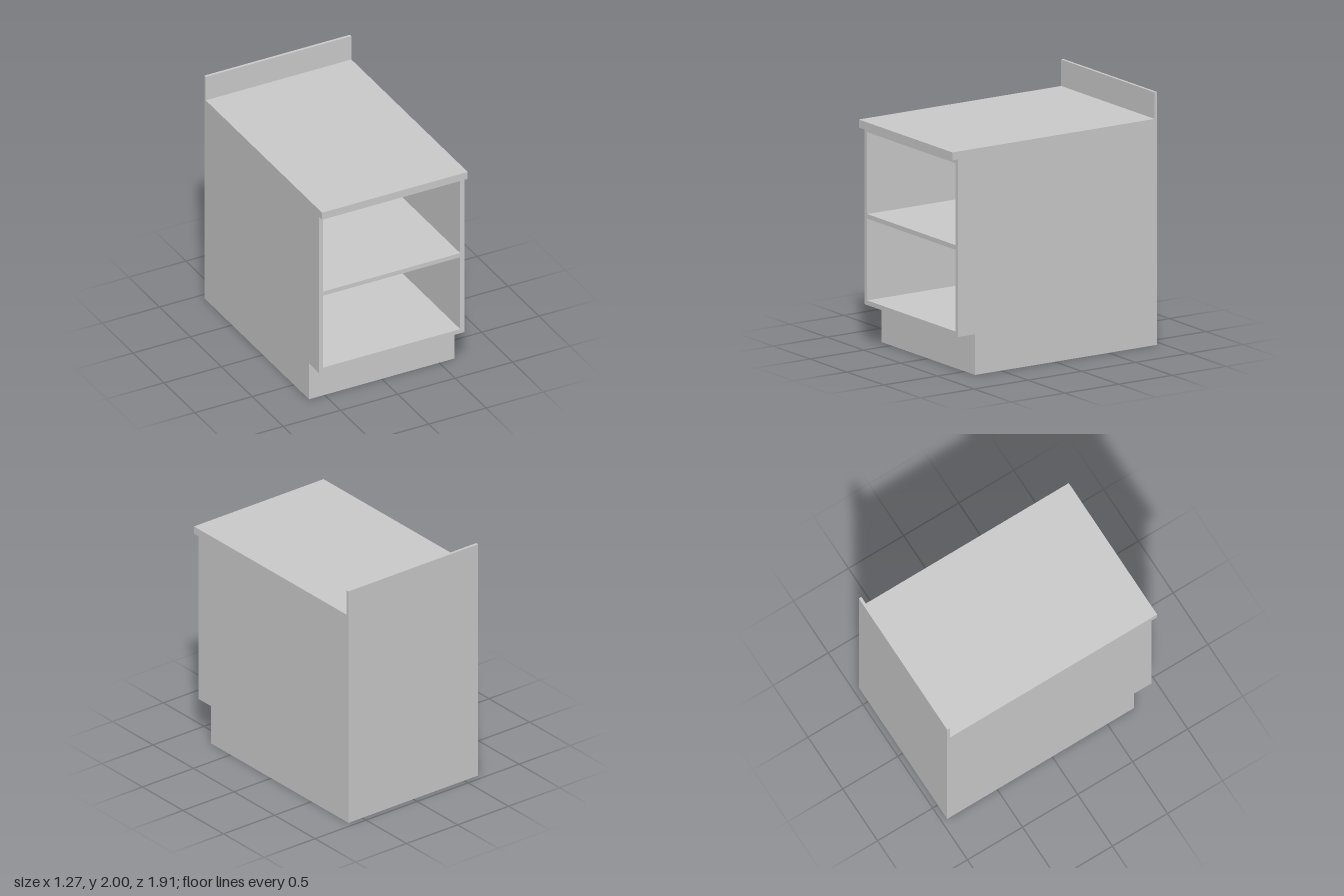
import * as THREE from 'three';

export function createModel() {
  const model = new THREE.Group();
  model.name = 'baseCabinet';
  const material = new THREE.MeshStandardMaterial({ color: 0xcccccc });

  // Box given by its limits on each axis
  function panel(name, [x0, x1], [y0, y1], [z0, z1]) {
    const mesh = new THREE.Mesh(new THREE.BoxGeometry(x1 - x0, y1 - y0, z1 - z0), material);
    mesh.position.set((x0 + x1) / 2, (y0 + y1) / 2, (z0 + z1) / 2);
    mesh.name = name;
    model.add(mesh);
  }

  const W = 0.635, T = 0.037;           // half width, board thickness
  const back = -0.953, front = 0.9;     // carcass depth limits
  const floor = 0.322, top = 1.727;     // carcass height limits
  const inside = [-W + T, W - T];
  const depth = [back + T, front];

  // Recessed plinth
  panel('toeKick', [-W, W], [0, floor], [back, 0.742]);

  // Open-fronted carcass
  panel('rightSide', [-W, -W + T], [floor, top], [back, front]);
  panel('leftSide', [W - T, W], [floor, top], [back, front]);
  panel('backPanel', inside, [floor, top], [back, back + T]);
  panel('bottomPanel', inside, [floor, floor + T], depth);
  panel('shelf', inside, [1.005, 1.042], depth);
  panel('topPanel', inside, [top - T, top], depth);

  // Worktop with front overhang and upstand at the back
  panel('countertop', [-W, W], [top, 1.79], [back, 0.953]);
  panel('backsplash', [-W, W], [1.79, 2], [back, -0.93]);

  return model;
}
